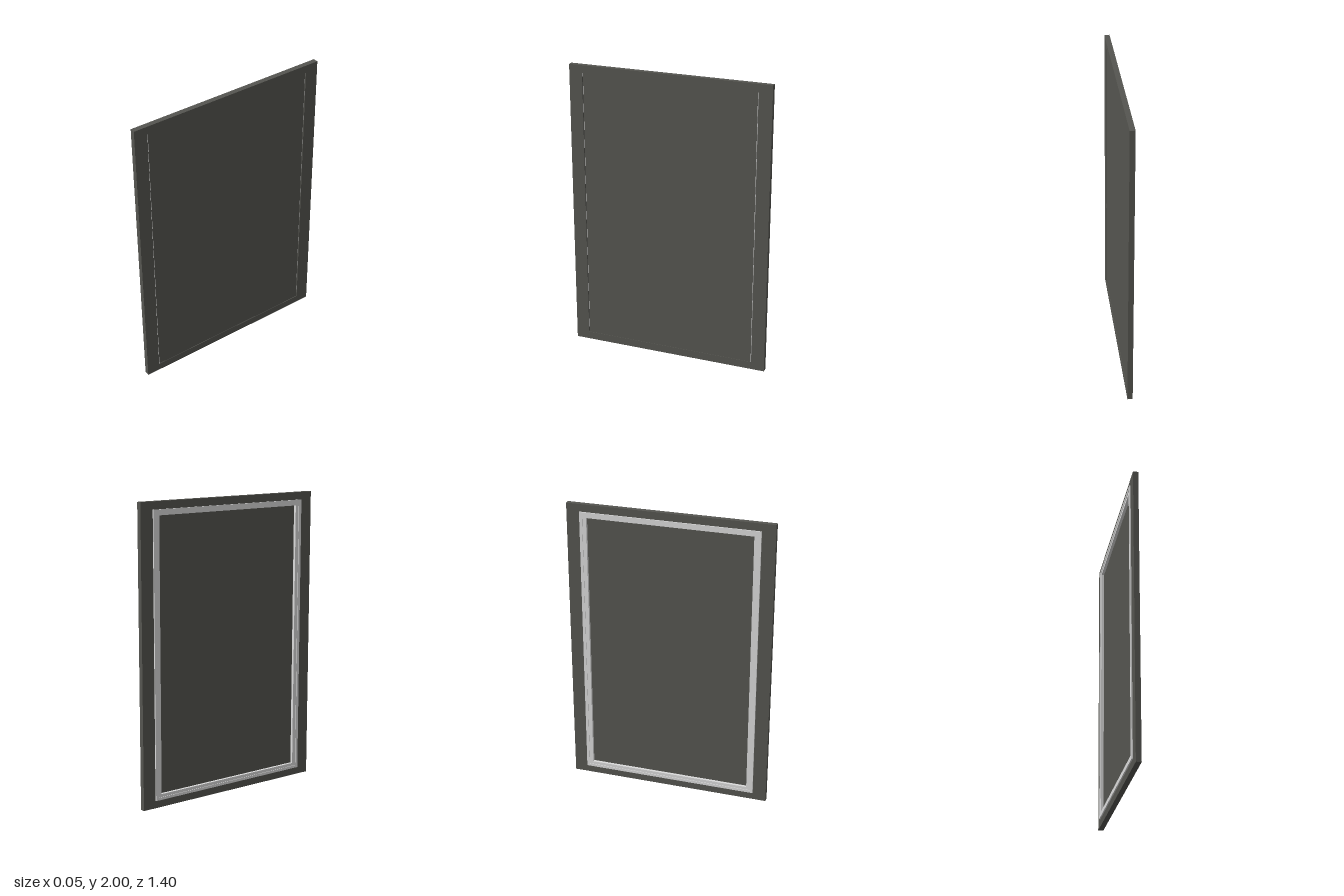
import * as THREE from 'three';

const panelMat = new THREE.MeshStandardMaterial({ color: 0x555550 });
panelMat.name = 'dark grey';
const sealMat = new THREE.MeshStandardMaterial({ color: 0xdadada });
sealMat.name = 'light grey';

// Rectangular path, given half width and half height
function rect(PathType, w, h) {
  const p = new PathType();
  p.moveTo(-w, -h);
  p.lineTo(w, -h);
  p.lineTo(w, h);
  p.lineTo(-w, h);
  p.closePath();
  return p;
}

// Upright rectangular ring in the yz plane, from x0 to x1
function ring(name, mat, outer, inner, x0, x1) {
  const shape = rect(THREE.Shape, ...outer);
  shape.holes.push(rect(THREE.Path, ...inner));
  const geo = new THREE.ExtrudeGeometry(shape, { depth: x1 - x0, bevelEnabled: false });
  geo.rotateY(Math.PI / 2);
  geo.translate(x0, 0, 0);
  const mesh = new THREE.Mesh(geo, mat);
  mesh.name = name;
  return mesh;
}

export function createModel() {
  const model = new THREE.Group();
  model.name = 'doorPanel';
  const door = new THREE.Group();
  door.name = 'door';

  // Outer frame
  const back = -0.0135, front = 0.0215;
  door.add(ring('outerFrame', panelMat, [0.697, 1], [0.605, 0.947], back, front));

  // Inner panel, slightly recessed, with a hairline gap at its upright sides
  const panelBack = 0.001, panelFront = 0.0185;
  const panel = new THREE.Mesh(new THREE.BoxGeometry(panelFront - panelBack, 1.894, 1.2), panelMat);
  panel.name = 'innerPanel';
  panel.position.x = (panelFront + panelBack) / 2;
  door.add(panel);

  // Seal on the back: a raised outer lip and a lower inner step
  door.add(ring('sealLip', sealMat, [0.606, 0.949], [0.586, 0.931], -0.022, back));
  door.add(ring('sealStep', sealMat, [0.605, 0.947], [0.56, 0.911], -0.018, panelBack));

  // Seal edges lining the gaps beside the panel
  for (const side of [-1, 1]) {
    const edge = new THREE.Mesh(new THREE.BoxGeometry(0.017, 1.894, 0.002), sealMat);
    edge.name = 'sealEdge';
    edge.position.set(0.0095, 0, side * 0.601);
    door.add(edge);
  }

  // The door leans very slightly
  door.rotation.set(0.0015, 0, 0.003);
  door.position.y = 1.001;
  model.add(door);
  return model;
}
